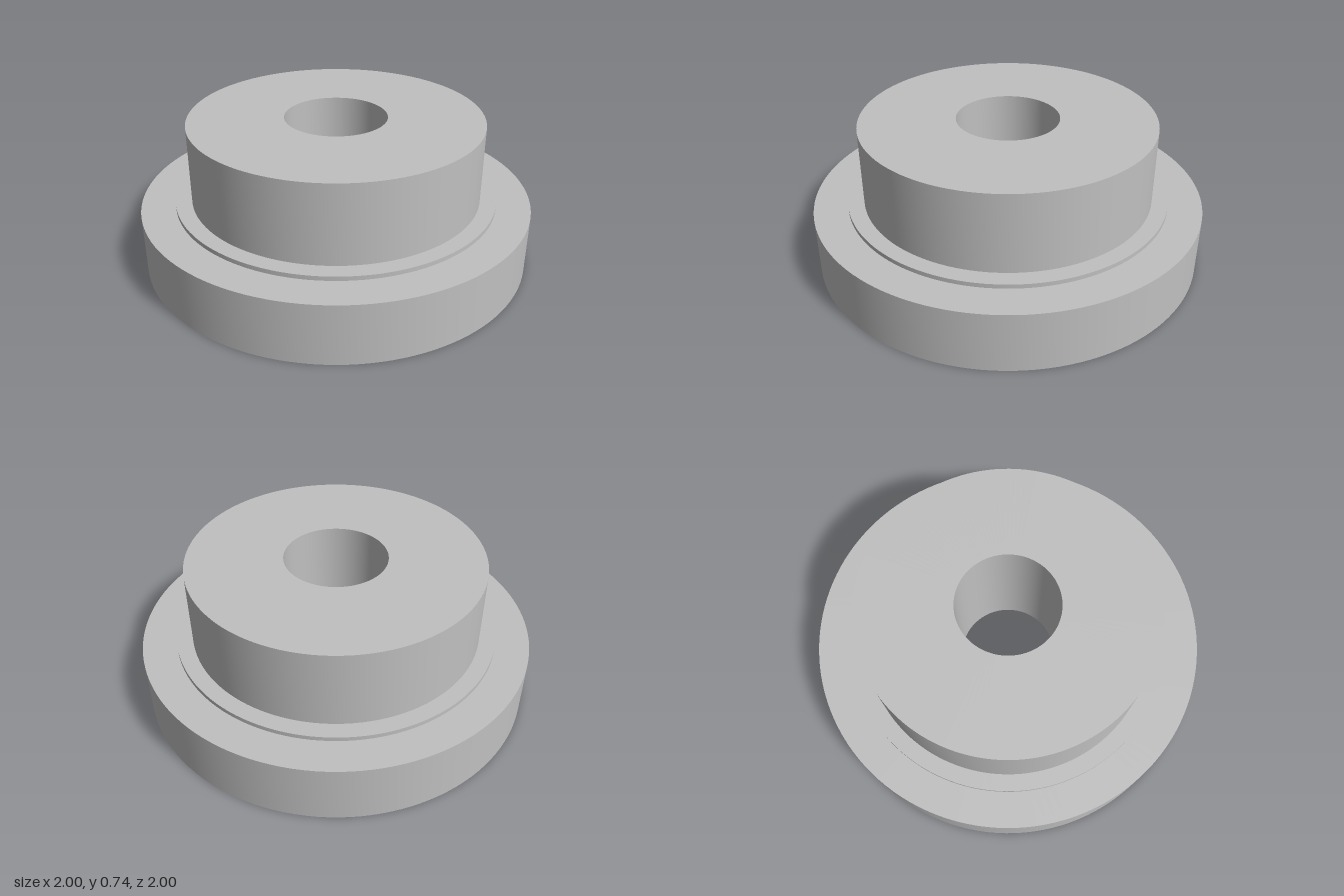
import * as THREE from 'three';
import { toCreasedNormals } from 'three/addons/utils/BufferGeometryUtils.js';

const BORE = 0.26, HUB = 0.745, SHOULDER = 0.827, FLANGE = 1;
const FLANGE_TOP = 0.31, SHOULDER_TOP = 0.332, HUB_TOP = 0.735;

export function createModel() {
  const group = new THREE.Group();
  group.name = 'flangedBushing';
  const steel = new THREE.MeshStandardMaterial({ color: 0xc0c0c0 });
  steel.name = 'light grey steel';

  // Revolve a [radius, height] profile, keeping its corners sharp
  function turned(name, profile) {
    const points = profile.map(([r, y]) => new THREE.Vector2(r, y));
    const geometry = toCreasedNormals(new THREE.LatheGeometry(points, 128), Math.PI / 6);
    const mesh = new THREE.Mesh(geometry, steel);
    mesh.name = name;
    group.add(mesh);
  }

  // Wide base disc: underside, rim and exposed top ring
  turned('flange', [[BORE, 0], [FLANGE, 0], [FLANGE, FLANGE_TOP], [SHOULDER, FLANGE_TOP]]);
  // Thin raised step around the hub
  turned('shoulder', [[SHOULDER, FLANGE_TOP], [SHOULDER, SHOULDER_TOP], [HUB, SHOULDER_TOP]]);
  // Upper cylinder with its annular top
  turned('hub', [[HUB, SHOULDER_TOP], [HUB, HUB_TOP], [BORE, HUB_TOP]]);
  // Through hole, profile runs downward so the wall faces the axis
  turned('bore', [[BORE, HUB_TOP], [BORE, 0]]);

  return group;
}
